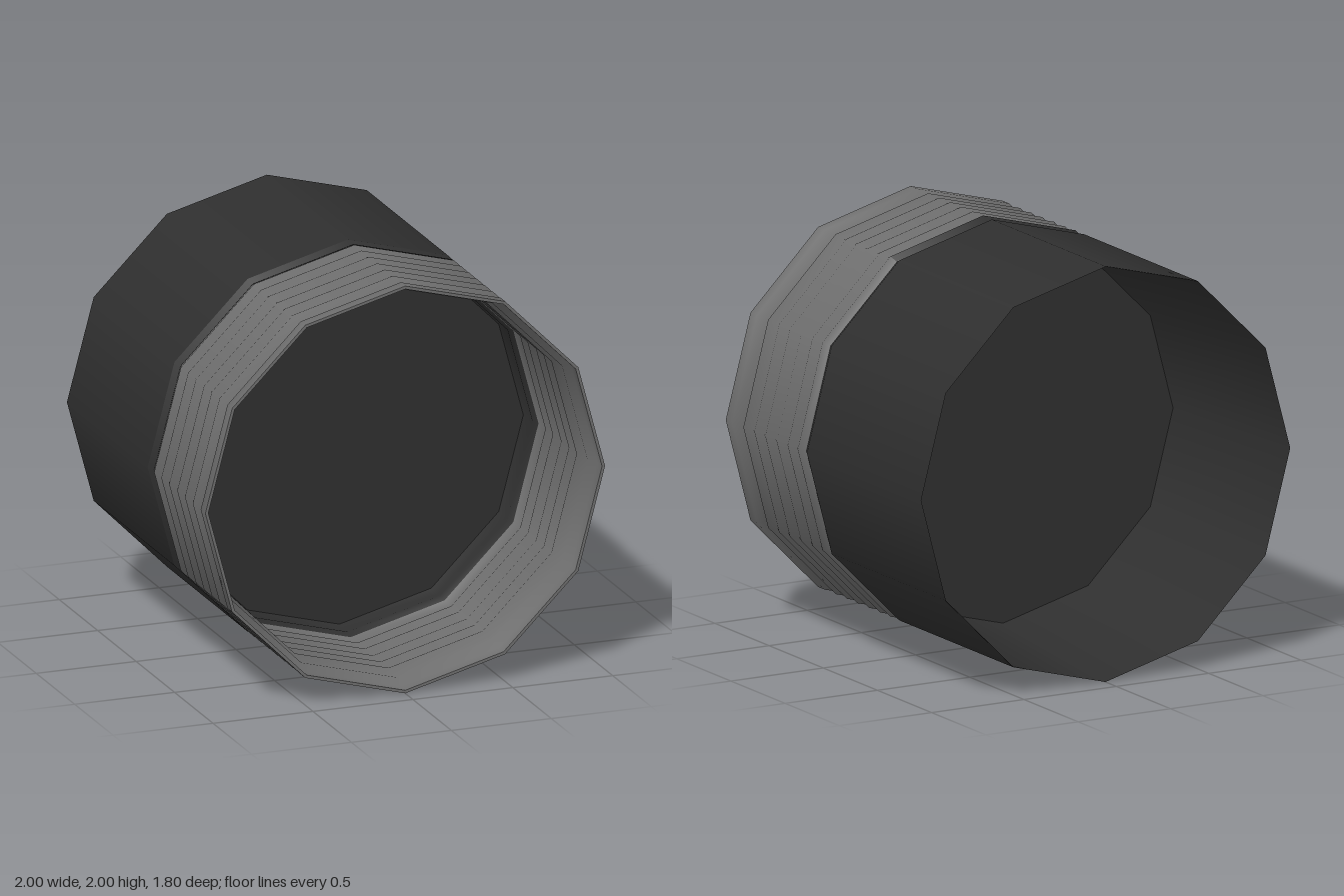
import * as THREE from 'three';

const SIDES = 12;

export function createModel() {
  const model = new THREE.Group();
  model.name = 'threadedBarrel';
  const black = new THREE.MeshStandardMaterial({ color: 0x2f2f2f, side: THREE.DoubleSide });
  black.name = 'black';
  const grey = new THREE.MeshStandardMaterial({ color: 0x6e6e6e, side: THREE.DoubleSide });
  grey.name = 'grey';

  const add = (name, geometry, material) => {
    geometry.translate(0, 1, 0);
    const mesh = new THREE.Mesh(geometry, material);
    mesh.name = name;
    model.add(mesh);
  };

  // twelve-sided ring about z from [radius, z] pairs; rising z faces outwards
  const ring = (name, profile, material, start = 0, steps = SIDES) => {
    const points = profile.map(([r, z]) => new THREE.Vector2(r, z));
    const geometry = new THREE.LatheGeometry(points, steps, start, (steps * Math.PI * 2) / SIDES);
    add(name, geometry.rotateX(Math.PI / 2), material);
  };

  // rear barrel, its inner wall narrowing towards the divider
  ring('barrelWall', [[1, -0.9], [1, 0.15]], black);
  ring('barrelShoulder', [[1, 0.15], [0.98, 0.19]], black);
  ring('barrelInnerWall', [[0.92, 0.045], [0.998, -0.9]], black);

  // divider between the rear bore and the threaded front
  add('divider', new THREE.CircleGeometry(0.921, SIDES).translate(0, 0, 0.045), black);

  // ribs outside, with the same grooves inside
  const valleys = [0.19, 0.28, 0.375, 0.485, 0.585, 0.685, 0.79];
  const outer = [];
  const inner = [];
  valleys.forEach((z, i) => {
    const last = i === valleys.length - 1;
    const peak = last ? 0.84 : (z + valleys[i + 1]) / 2;
    outer.push([last ? 0.965 : 0.98, z], [1, peak]);
    inner.push([last ? 0.955 : 0.94, z], [last ? 0.985 : 0.96, peak]);
  });
  outer.push([1, 0.9]);
  inner.push([0.985, 0.9]);
  ring('outerRibs', outer, grey);
  ring('innerRibs', inner.reverse(), grey);
  ring('frontLip', [[1, 0.9], [0.985, 0.9]], grey);

  // dark seat behind the inner ribs
  ring('innerSeat', [[0.94, 0.19], [0.925, 0.15], [0.935, 0.1], [0.92, 0.045]], black);

  // dark edge overlapping the first rib on the upper facets
  ring('upperEdge', [[0.982, 0.19], [1.002, 0.23]], black, (5 * Math.PI) / 6, 4);

  return model;
}
